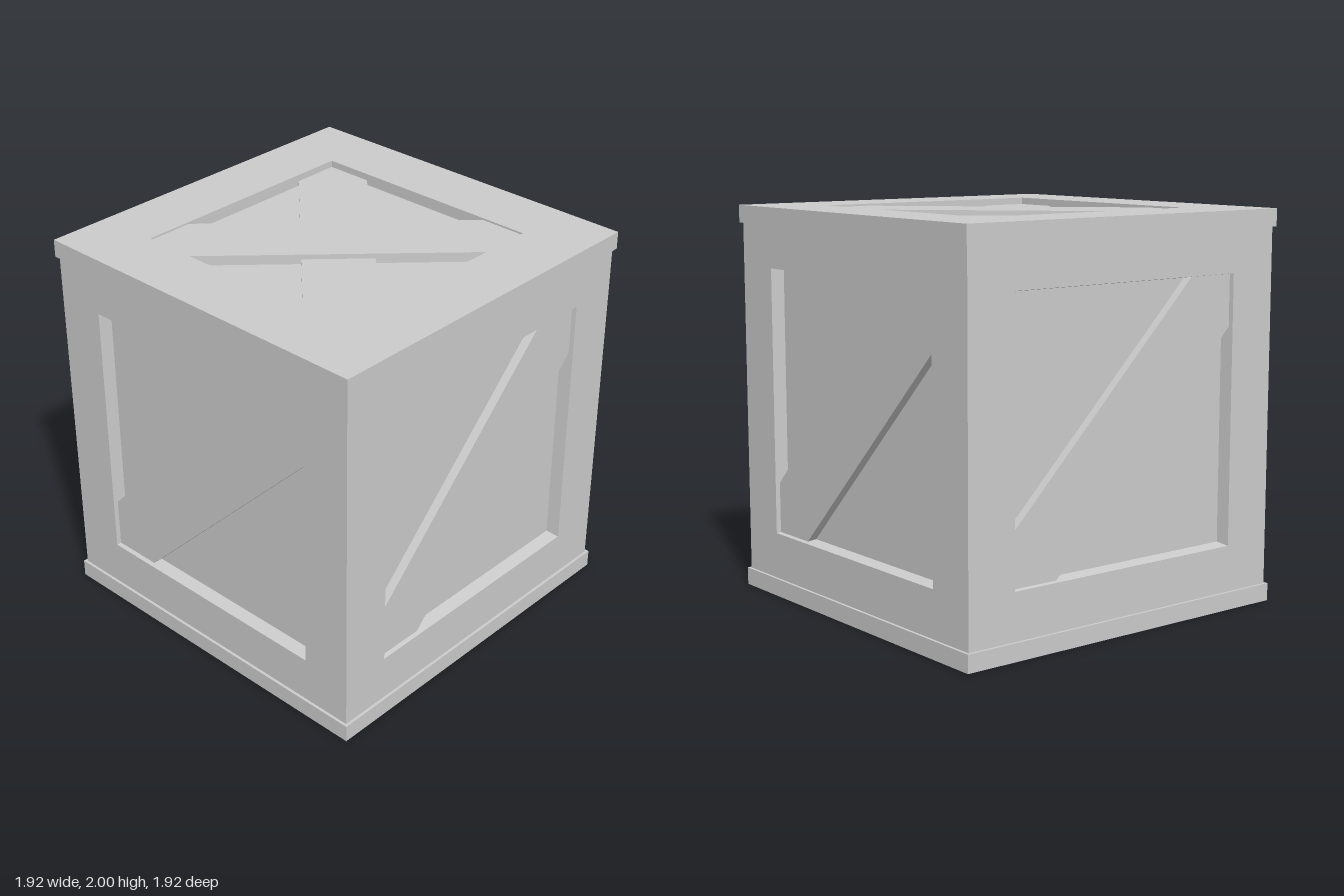
import * as THREE from 'three';

const material = new THREE.MeshStandardMaterial({ color: 0xcccccc, flatShading: true });

function addMesh(parent, name, geometry, x = 0, y = 0, z = 0) {
  const mesh = new THREE.Mesh(geometry, material);
  mesh.name = name;
  mesh.position.set(x, y, z);
  parent.add(mesh);
  return mesh;
}

const polygon = (Type, points) => new Type(points.map(([x, y]) => new THREE.Vector2(x, y)));
const rectangle = (w, h, cy = 0) => [[-w, cy - h], [w, cy - h], [w, cy + h], [-w, cy + h]];

// Rectangular frame with a hole whose walls narrow slightly towards the back;
// backWidth mitres the outer edge so that neighbouring frames meet at the corners.
function frameGeometry(w, h, hole, holeY, depth, backWidth, holeTaper) {
  const shape = polygon(THREE.Shape, rectangle(w, h));
  shape.holes.push(polygon(THREE.Path, rectangle(hole, hole, holeY)));
  const geometry = new THREE.ExtrudeGeometry(shape, { depth, bevelEnabled: false });
  const p = geometry.attributes.position;
  for (let i = 0; i < p.count; i++) {
    if (p.getZ(i) > depth / 2) continue;
    if (Math.abs(p.getX(i)) > hole + 0.01) p.setX(i, Math.sign(p.getX(i)) * backWidth);
    else {
      p.setX(i, p.getX(i) * holeTaper);
      p.setY(i, holeY + (p.getY(i) - holeY) * holeTaper);
    }
  }
  geometry.computeVertexNormals();
  return geometry;
}

// Diagonal board from the lower left to the upper right corner of a square
function braceGeometry(h, cut, depth) {
  const shape = polygon(THREE.Shape, [
    [-h, -h], [-h + cut, -h], [h, h - cut], [h, h], [h - cut, h], [-h, -h + cut],
  ]);
  return new THREE.ExtrudeGeometry(shape, { depth, bevelEnabled: false });
}

export function createModel() {
  const crate = new THREE.Group();
  crate.name = 'crate';

  const inner = 0.88, outer = 0.948;

  // Core box: its faces are the recessed panels
  addMesh(crate, 'corePanels', new THREE.BoxGeometry(inner * 2, 1.86, inner * 2), 0, 1.01, 0);

  // Base slab
  addMesh(crate, 'base', new THREE.BoxGeometry(1.925, 0.09, 1.925), 0, 0.045, 0);

  // Four sides, each a frame with one diagonal brace
  const sideFrame = frameGeometry(outer, 0.91, 0.683, 0.01, outer - inner, inner, 0.985);
  const sideBrace = braceGeometry(0.681, 0.26, 0.045);
  ['front', 'left', 'back', 'right'].forEach((name, i) => {
    const side = new THREE.Group();
    side.name = name + 'Side';
    side.rotation.y = i * Math.PI / 2;
    addMesh(side, name + 'Frame', sideFrame, 0, 1, inner);
    addMesh(side, name + 'Brace', sideBrace, 0, 1.01, inner);
    crate.add(side);
  });

  // Lid: frame with two crossed braces, one lying over the other
  const lid = new THREE.Group();
  lid.name = 'lid';
  lid.rotation.x = -Math.PI / 2;
  lid.position.y = 1.91;
  addMesh(lid, 'lidFrame', frameGeometry(0.9625, 0.9625, 0.635, 0, 0.09, 0.9625, 1));
  addMesh(lid, 'lowerLidBrace', braceGeometry(0.635, 0.25, 0.055));
  addMesh(lid, 'upperLidBrace', braceGeometry(0.635, 0.25, 0.08)).rotation.z = Math.PI / 2;
  crate.add(lid);

  return crate;
}
